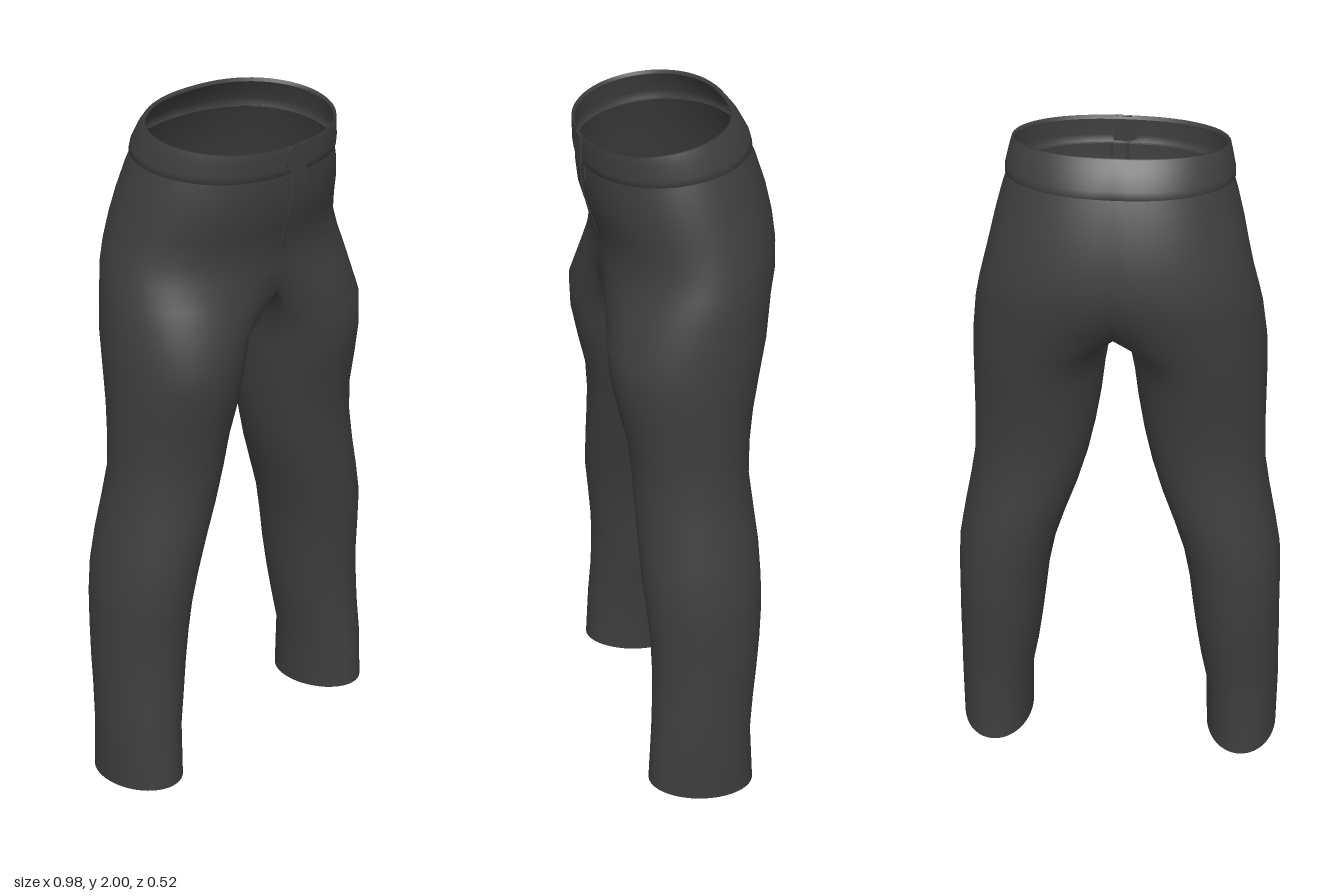
import * as THREE from 'three';
import { mergeVertices } from 'three/addons/utils/BufferGeometryUtils.js';

// Sections from hem to waist: front height, outer x, inner x, front z, back z, rise towards the back
const LEG = [
  [0.035, 0.49, 0.275, 0.18, -0.135, -0.035],
  [0.2, 0.49, 0.27, 0.17, -0.125, -0.01],
  [0.3, 0.487, 0.25, 0.163, -0.135, 0],
  [0.4, 0.485, 0.235, 0.16, -0.146, 0],
  [0.5, 0.482, 0.222, 0.162, -0.155, 0],
  [0.6, 0.48, 0.21, 0.17, -0.16, 0],
  [0.7, 0.475, 0.19, 0.18, -0.16, 0],
  [0.8, 0.457, 0.158, 0.183, -0.158, 0],
  [0.9, 0.437, 0.122, 0.184, -0.15, 0],
  [1.0, 0.42, 0.092, 0.185, -0.141, 0],
  [1.1, 0.416, 0.07, 0.192, -0.145, 0],
  [1.2, 0.415, 0.053, 0.215, -0.157, 0],
  [1.3, 0.414, 0.041, 0.235, -0.175, 0],
  [1.4, 0.41, 0.024, 0.24, -0.195, 0],
];
const HIPS = [
  [1.52, 0.395, 0, 0.228, -0.238, 0],
  [1.58, 0.382, 0, 0.217, -0.256, 0],
  [1.64, 0.366, 0, 0.212, -0.26, 0.005],
  [1.7, 0.35, 0, 0.228, -0.252, 0.015],
  [1.76, 0.335, 0, 0.246, -0.236, 0.025],
  [1.82, 0.317, 0, 0.253, -0.212, 0.038],
  [1.86, 0.303, 0, 0.253, -0.192, 0.045],
];
const BAND = [
  [1.858, 0.3, 0, 0.25, -0.19, 0.045],
  [1.862, 0.308, 0, 0.258, -0.198, 0.045],
  [1.88, 0.307, 0, 0.26, -0.192, 0.048],
  [1.915, 0.298, 0, 0.26, -0.168, 0.055],
  [1.937, 0.291, 0, 0.26, -0.146, 0.06],
  [1.94, 0.288, 0, 0.257, -0.142, 0.06],
  [1.93, 0.284, 0, 0.252, -0.138, 0.06],
];
const OUTER = 32, INNER = 14, SPREAD = THREE.MathUtils.degToRad(130);

// One point of a section; i runs front -> outside -> back, then round the inner leg
function sectionPoint([y, xo, xi, zf, zb, rise], i) {
  const a = i <= OUTER
    ? SPREAD - 2 * SPREAD * i / OUTER
    : -SPREAD - (2 * Math.PI - 2 * SPREAD) * (i - OUTER) / INNER;
  const zc = (zf + zb) / 2, hd = (zf - zb) / 2;
  let x = (xo + xi) / 2 + (xo - xi) / 2 * Math.cos(a);
  let z = zc + hd * Math.sin(a);
  if (y > 1.45) {
    // Above the crotch the ring opens and blends into half of the hip oval
    const end = xo / 2 * (1 + Math.cos(SPREAD));
    const t = Math.PI * Math.min(i, OUTER) / OUTER;
    const b = THREE.MathUtils.smoothstep(y, 1.36, 1.66);
    const ox = xo * Math.pow(Math.max(0, Math.sin(t)), 0.87);
    x = THREE.MathUtils.lerp((x - end) / (xo - end) * xo, ox, b);
    z = THREE.MathUtils.lerp(z, zc + hd * Math.cos(t), b);
    if (i === 0 || i >= OUTER) x = 0;
  }
  return [x, y + rise * (zf - z) / (zf - zb), z];
}

// Crotch seam: the inner part of the first hip section hangs as a U on the centre line
function crotchPoint(i) {
  if (i <= OUTER) return sectionPoint(HIPS[0], i);
  const [, y, zBack] = sectionPoint(HIPS[0], OUTER);
  const zFront = sectionPoint(HIPS[0], 0)[2];
  const u = (i - OUTER) / INNER;
  const z = (zBack + zFront) / 2 - (zFront - zBack) / 2 * Math.cos(Math.PI * u);
  return [0, y - 0.075 * Math.sin(Math.PI * u), z];
}

// Skin rows of equal length, on both sides of the centre line
function mirroredLoft(strips) {
  const pos = [], index = [];
  for (const side of [1, -1]) {
    for (const rows of strips) {
      const base = pos.length / 3, n = rows[0].length;
      for (const row of rows) for (const [x, y, z] of row) pos.push(side * x, y, z);
      for (let r = 0; r < rows.length - 1; r++) {
        for (let i = 0; i < n - 1; i++) {
          const a = base + r * n + i, b = a + 1, c = a + n, d = c + 1;
          if (side > 0) index.push(a, b, d, a, d, c);
          else index.push(a, d, b, a, c, d);
        }
      }
    }
  }
  const g = new THREE.BufferGeometry();
  g.setAttribute('position', new THREE.Float32BufferAttribute(pos, 3));
  g.setIndex(index);
  const merged = mergeVertices(g, 1e-4);
  merged.computeVertexNormals();
  return merged;
}

const range = (n, f) => Array.from({ length: n }, (_, i) => f(i));
const halfOval = key => range(OUTER + 1, i => sectionPoint(key, i));

export function createModel() {
  const group = new THREE.Group();
  group.name = 'trousers';
  const cloth = new THREE.MeshStandardMaterial({ color: 0x3e3e3e, side: THREE.DoubleSide });
  cloth.name = 'charcoal cloth';
  const add = (name, geometry) => {
    const mesh = new THREE.Mesh(geometry, cloth);
    mesh.name = name;
    group.add(mesh);
    return mesh;
  };

  // Legs and hips, one continuous open shell
  const full = OUTER + INNER + 1;
  const legRows = LEG.map(key => range(full, i => sectionPoint(key, i)));
  legRows.push(range(full, crotchPoint));
  add('legsAndHips', mirroredLoft([legRows, HIPS.map(halfOval)]));

  // Waistband with a turned-in top edge
  add('waistband', mirroredLoft([BAND.map(halfOval)]));

  // Rounded overlapping end of the waistband
  const s = new THREE.Shape();
  s.moveTo(0.04, 1.864);
  s.lineTo(0.04, 1.938);
  s.lineTo(-0.01, 1.938);
  s.bezierCurveTo(-0.038, 1.93, -0.038, 1.872, -0.01, 1.864);
  s.closePath();
  const tab = add('waistbandTab', new THREE.ExtrudeGeometry(s, { depth: 0.008, bevelEnabled: false, curveSegments: 8 }));
  tab.position.z = 0.255;

  // Fly seam down the front, and the short fold beside it
  const seam = (name, x, keys) => {
    const pts = keys.map(k => new THREE.Vector3(x, k[0], k[3] - 0.001));
    add(name, new THREE.TubeGeometry(new THREE.CatmullRomCurve3(pts), 16, 0.004, 6));
  };
  seam('flySeam', 0, HIPS.slice(2));
  seam('flyFold', 0.045, HIPS.slice(5));

  return group;
}
